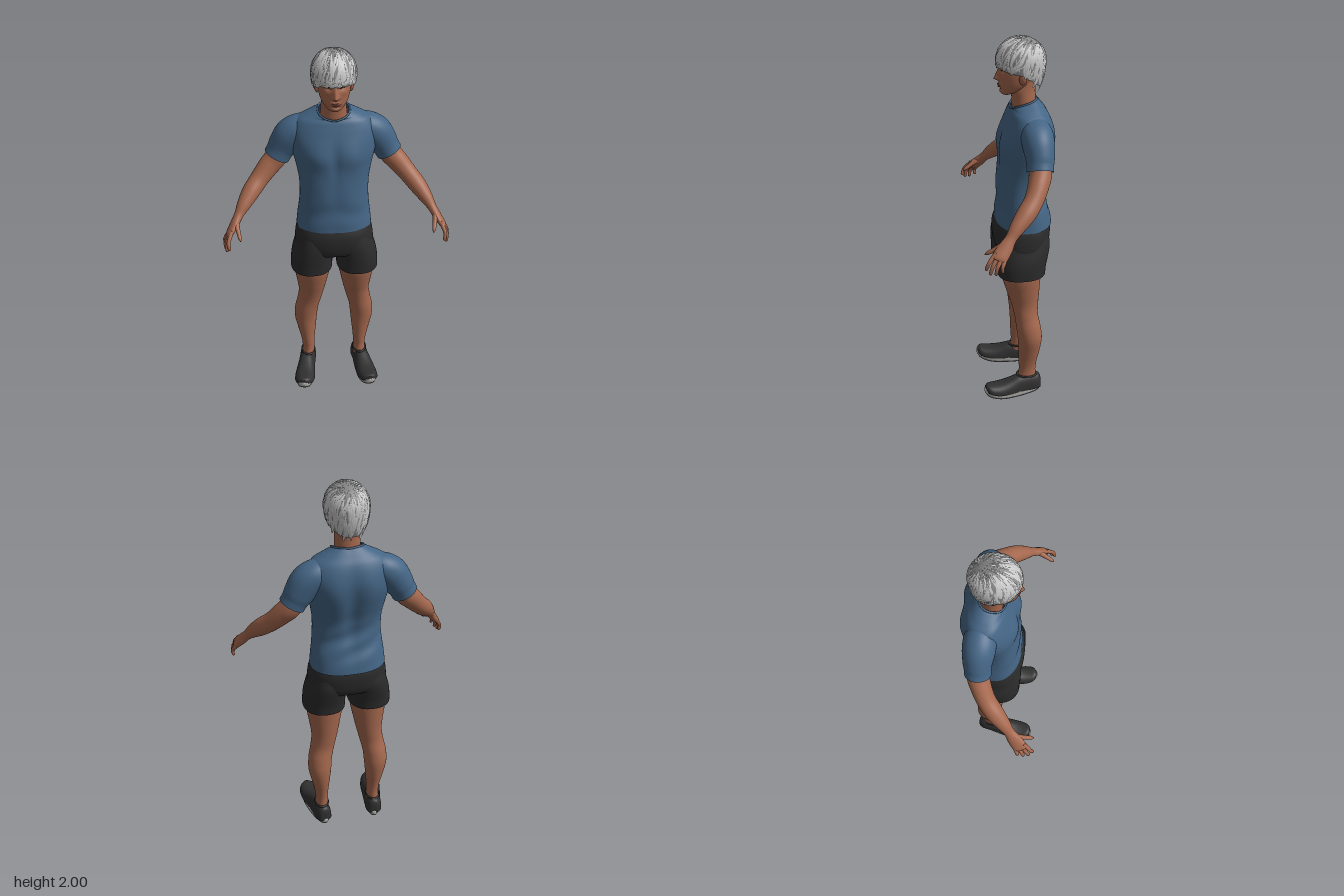
import * as THREE from 'three';
import { mergeGeometries } from 'three/addons/utils/BufferGeometryUtils.js';

const V = (x, y, z) => new THREE.Vector3(x, y, z);
const mat = (name, color, side = THREE.FrontSide) => {
  const m = new THREE.MeshStandardMaterial({ color, side });
  m.name = name;
  return m;
};
const gauss = (d, w) => Math.exp(-(d * d) / (w * w));

// Smooth interpolation through rows of numbers, t from 0 to 1
function sample(rows, t) {
  const f = THREE.MathUtils.clamp(t, 0, 1) * (rows.length - 1);
  const i = Math.min(Math.floor(f), rows.length - 2), s = f - i;
  const at = k => rows[THREE.MathUtils.clamp(k, 0, rows.length - 1)];
  return rows[0].map((_, c) => {
    const [a, b, d, e] = [at(i - 1)[c], at(i)[c], at(i + 1)[c], at(i + 2)[c]];
    return b + 0.5 * s * (d - a + s * (2 * a - 5 * b + 4 * d - e + s * (3 * (b - d) + e - a)));
  });
}

// Surface from a grid of points; closed around u unless open, ends fanned shut if cap
function grid(nu, nv, fn, { open = false, cap = false } = {}) {
  const pos = [], idx = [], cols = open ? nu + 1 : nu;
  for (let i = 0; i <= nv; i++)
    for (let j = 0; j < cols; j++) pos.push(...fn(j / nu, i / nv).toArray());
  for (let i = 0; i < nv; i++)
    for (let j = 0; j < nu; j++) {
      const k = (j + 1) % cols, a = i * cols + j, b = i * cols + k;
      idx.push(a, b, b + cols, a, b + cols, a + cols);
    }
  if (cap) for (const row of [0, nv]) {
    const c = V(0, 0, 0), n = pos.length / 3;
    for (let j = 0; j < cols; j++) c.add(V(...pos.slice((row * cols + j) * 3, (row * cols + j) * 3 + 3)));
    pos.push(...c.divideScalar(cols).toArray());
    for (let j = 0; j < cols; j++) {
      const a = row * cols + j, b = row * cols + (j + 1) % cols;
      if (row) idx.push(a, b, n); else idx.push(b, a, n);
    }
  }
  const g = new THREE.BufferGeometry();
  g.setAttribute('position', new THREE.Float32BufferAttribute(pos, 3));
  g.setIndex(idx);
  g.computeVertexNormals();
  return g;
}

// Upright form from rows [y, centre x, half width, front z, back z]
const power = (c, n) => Math.sign(c) * Math.abs(c) ** (2 / n);
function upright(rows, nu, nv, { n = 2, shape = p => p, cap = false } = {}) {
  return grid(nu, nv, (u, v) => {
    const [y, x, hw, zf, zb] = sample(rows, v), a = u * Math.PI * 2;
    return shape(V(x + hw * power(Math.sin(a), n), y, (zf + zb) / 2 + (zf - zb) / 2 * power(Math.cos(a), n)), a, v);
  }, { cap });
}

// Limb along rows [x, y, z, radius towards the front, radius across]
function limb(rows, nu, nv, cap = true) {
  return grid(nu, nv, (u, v) => {
    const p = sample(rows, v), c = V(p[0], p[1], p[2]), a = u * Math.PI * 2;
    const T = V(...sample(rows, v + 0.02).slice(0, 3)).sub(V(...sample(rows, v - 0.02).slice(0, 3))).normalize();
    const N = V(0, 0, 1).addScaledVector(T, -T.z).normalize(), B = T.clone().cross(N);
    return c.addScaledVector(N, p[3] * Math.cos(a)).addScaledVector(B, p[4] * Math.sin(a));
  }, { cap });
}

function mirrored(geo) {
  const g = geo.clone().scale(-1, 1, 1), ix = g.index.array;
  for (let i = 0; i < ix.length; i += 3) [ix[i], ix[i + 1]] = [ix[i + 1], ix[i]];
  g.computeVertexNormals();
  return g;
}

export function createModel() {
  const model = new THREE.Group();
  model.name = 'standingMan';
  const skin = mat('skin', 0xa5684e), shirt = mat('shirtBlue', 0x446585, THREE.DoubleSide);
  const black = mat('shortsBlack', 0x2b2b2b, THREE.DoubleSide), shoe = mat('shoeBlack', 0x303030);
  const soleMat = mat('soleWhite', 0xb4b2ae), tread = mat('treadGrey', 0x5c5b5a);
  const hairDark = mat('hairGrey', 0x858585, THREE.DoubleSide), hairLight = mat('hairSilver', 0xc8c8c8, THREE.DoubleSide);
  const dark = mat('browAndEyeDark', 0x2a1e1a), lip = mat('lipBrown', 0x8a4c3e);
  const add = (name, geo, m) => {
    const mesh = new THREE.Mesh(geo, m);
    mesh.name = name;
    model.add(mesh);
  };
  const pair = (name, geo, m) => { add(name + 'Left', geo, m); add(name + 'Right', mirrored(geo), m); };

  // Head, with nose, sockets, brow and mouth raised from the skull
  const headRows = [[1.711, 0, .022, .044, 0], [1.722, 0, .04, .052, -.03], [1.74, 0, .057, .056, -.07],
    [1.765, 0, .07, .059, -.1], [1.8, 0, .079, .06, -.125], [1.84, 0, .084, .062, -.15], [1.88, 0, .087, .062, -.16],
    [1.92, 0, .085, .053, -.16], [1.96, 0, .062, .025, -.13], [1.98, 0, .03, -.01, -.09]];
  const features = (x, y) => {
    const ax = Math.abs(x), rise = y > 1.79 ? Math.max(0, 1 - (y - 1.79) / .055) : Math.max(0, 1 - (1.79 - y) / .014);
    return .027 * rise * gauss(x, .009 + .007 * rise)
      - .010 * gauss(ax - .034, .019) * gauss(y - 1.838, .012) + .005 * gauss(ax - .03, .03) * gauss(y - 1.86, .009)
      + .007 * gauss(x, .024) * gauss(y - 1.757, .012) - .004 * gauss(x, .03) * gauss(y - 1.74, .006)
      + .004 * gauss(x, .02) * gauss(y - 1.725, .009) + .003 * gauss(ax - .05, .018) * gauss(y - 1.81, .014);
  };
  add('head', upright(headRows, 96, 90, { cap: true, shape: (p, a) => {
    if (Math.cos(a) > 0) p.z += features(p.x, p.y) * Math.min(1, Math.cos(a) * 2);
    return p;
  } }), skin);
  const onFace = (x, y, lift) => {
    let lo = 0, hi = 1;
    for (let i = 0; i < 24; i++) { const m = (lo + hi) / 2; if (sample(headRows, m)[0] < y) lo = m; else hi = m; }
    const [, , hw, zf, zb] = sample(headRows, lo);
    return V(x, y, (zf + zb) / 2 + (zf - zb) / 2 * Math.sqrt(1 - (x / hw) ** 2) + features(x, y) + lift);
  };
  const faceLine = (pts, r) => {
    const rows = pts.map(([x, y], i) => [...onFace(x, y, 0).toArray(), i % (pts.length - 1) ? r : r * .3, i % (pts.length - 1) ? r : r * .3]);
    return limb(rows, 8, 16);
  };
  pair('eyebrow', faceLine([[.014, 1.855], [.026, 1.86], [.042, 1.862], [.057, 1.855]], .0035), dark);
  pair('eye', faceLine([[.021, 1.836], [.029, 1.84], [.039, 1.841], [.048, 1.837]], .0037), dark);
  add('upperLip', faceLine([[-.024, 1.757], [-.008, 1.762], [0, 1.76], [.008, 1.762], [.024, 1.757]], .003), lip);
  add('lowerLip', faceLine([[-.02, 1.754], [0, 1.75], [.02, 1.754]], .0035), lip);
  pair('ear', new THREE.SphereGeometry(1, 16, 12).scale(.01, .03, .018).rotateZ(-.2).rotateY(-.25).translate(.088, 1.805, -.045), skin);
  add('neck', upright([[1.6, 0, .08, -.01, -.14], [1.65, 0, .068, -.005, -.125], [1.7, 0, .064, -.002, -.122],
    [1.74, 0, .062, .008, -.122], [1.79, 0, .06, .0, -.13]], 32, 16), skin);

  // Hair: a cap growing from the crown, then layered locks
  const edge = [[1.852], [1.85], [1.838], [1.825], [1.782], [1.757], [1.75]];
  const hairPoint = (a, v, k) => {
    const s = Math.sin(Math.min(v / .6, 1) * Math.PI / 2);
    const x = s * Math.sin(a), z = s * Math.cos(a) - .5 * (1 - s);
    let y = 1.88 + k * .115 * Math.sqrt(Math.max(0, 1 - x * x - z * z)), f = k;
    if (v > .6) {
      const wrapped = Math.abs(Math.atan2(Math.sin(a), Math.cos(a)));
      y = 1.88 + (sample(edge, wrapped / Math.PI)[0] - 1.88) * (v - .6) / .4;
      f *= 1 - .2 * ((1.88 - y) / .13) ** 2;
    }
    return V(.111 * f * x, y, -.049 + .123 * f * z);
  };
  add('hairCap', grid(64, 32, (u, v) => hairPoint(u * Math.PI * 2, 1 - v * .999, 1)), hairDark);
  let seed = 7;
  const rand = () => (seed = (seed * 16807) % 2147483647) / 2147483647;
  const locks = [];
  for (let i = 0; i < 330; i++) {
    const a0 = rand() * Math.PI * 2, v0 = .04 + rand() * .72, len = .22 + rand() * .22, w = .03 + rand() * .05, bend = rand() * .6 - .15;
    locks.push(grid(2, 7, (u, t) => {
      const taper = Math.sin(Math.PI * (.12 + .86 * t)) * w;
      return hairPoint(a0 + bend * t + (u - .5) * 2 * taper, Math.min(v0 + len * (1 - t), 1.1),
        1.006 + (u === .5 ? .022 : 0) * Math.sin(Math.PI * t));
    }, { open: true }));
  }
  add('hairLocks', mergeGeometries(locks), hairLight);

  // T-shirt body with chest, shoulder blades, spine and soft folds
  const shirtRows = [[1.02, 0, .198, .088, -.208], [1.08, 0, .192, .082, -.198], [1.15, 0, .183, .077, -.176],
    [1.22, 0, .178, .073, -.162], [1.3, 0, .18, .069, -.17], [1.38, 0, .194, .064, -.19], [1.45, 0, .21, .058, -.203],
    [1.52, 0, .216, .046, -.208], [1.575, 0, .21, .028, -.2], [1.62, 0, .185, .01, -.182], [1.65, 0, .14, -.002, -.158],
    [1.667, 0, .102, .002, -.14], [1.675, 0, .08, .004, -.128]];
  const drape = (p, a, v) => {
    const c = Math.cos(a), ax = Math.abs(p.x);
    if (c > 0) p.z += c * (.016 * gauss(ax - .085, .07) * gauss(p.y - 1.46, .065) - .007 * gauss(p.x, .02) * gauss(p.y - 1.42, .1)
      + .004 * gauss(ax - .06, .04) * gauss(p.y - 1.25, .06) + .003 * Math.sin(p.y * 42 + ax * 12) * gauss(p.y - 1.12, .1));
    else p.z -= -c * (.012 * gauss(ax - .1, .06) * gauss(p.y - 1.48, .09) - .014 * gauss(p.x, .04) * gauss(p.y - 1.35, .2)
      + .005 * Math.sin(p.y * 55 + p.x * 22) * gauss(p.y - 1.17, .09));
    p.y -= (.012 + .022 * c) * THREE.MathUtils.smoothstep(v, .75, 1) - .012 * Math.abs(Math.sin(a)) * THREE.MathUtils.smoothstep(v, .8, 1);
    return p;
  };
  add('shirtBody', upright(shirtRows, 96, 80, { n: 2.3, shape: drape }), shirt);
  const rim = [];
  for (let i = 0; i < 24; i++) {
    const a = i / 24 * Math.PI * 2;
    rim.push(drape(V(.08 * power(Math.sin(a), 2.3), 1.675, -.062 + .066 * power(Math.cos(a), 2.3)), a, 1));
  }
  add('shirtCollar', new THREE.TubeGeometry(new THREE.CatmullRomCurve3(rim, true), 64, .005, 8, true), shirt);
  pair('sleeve', limb([[.1, 1.585, -.1, .05, .05], [.16, 1.562, -.1, .077, .073], [.212, 1.525, -.102, .08, .083],
    [.252, 1.468, -.104, .072, .077], [.272, 1.435, -.102, .067, .069], [.289, 1.405, -.1, .066, .068]], 40, 28, false), shirt);

  // Arms, palms and fingers
  pair('arm', limb([[.22, 1.52, -.1, .05, .05], [.2875, 1.405, -.1, .056, .057], [.335, 1.352, -.082, .052, .054],
    [.385, 1.297, -.05, .048, .048], [.43, 1.25, -.005, .047, .045], [.468, 1.205, .042, .037, .035],
    [.495, 1.167, .075, .028, .024], [.52, 1.13, .105, .036, .021], [.546, 1.095, .136, .038, .016], [.554, 1.083, .145, .03, .01]], 32, 64), skin);
  const knuckle = V(.549, 1.091, .139), across = V(-.34, .45, .83);
  const tips = [[.548, 1.035, .203], [.562, 1.016, .185], [.568, 1.015, .158], [.568, 1.026, .125]];
  tips.forEach((tip, i) => {
    const k = knuckle.clone().addScaledVector(across, .029 - i * .019), e = V(...tip);
    const mid = k.clone().lerp(e, .5).add(V(.009, .003, .006)), back = k.clone().lerp(e, -.25), near = mid.clone().lerp(e, .85);
    const rows = [[back, .007], [k, .0105], [mid, .0095], [near, .008], [e, .003]].map(([p, r]) => [...p.toArray(), r, r]);
    pair('finger' + (i + 1), limb(rows, 10, 16), skin);
  });
  pair('thumb', limb([[.505, 1.15, .09, .012, .012], [.507, 1.135, .125, .015, .014], [.5, 1.115, .158, .011, .011],
    [.494, 1.098, .185, .0095, .0095], [.49, 1.087, .2, .003, .003]], 12, 18), skin);

  // Shorts
  add('shortsSeat', upright([[.855, 0, .06, .03, -.11], [.87, 0, .17, .077, -.165], [.9, 0, .207, .093, -.19],
    [.95, 0, .208, .1, -.2], [1.0, 0, .2, .097, -.201], [1.05, 0, .184, .078, -.188]], 64, 24, { n: 2.4, cap: true }), black);
  pair('shortsLeg', upright([[.76, .124, .112, .09, -.162], [.81, .122, .112, .091, -.167], [.86, .117, .109, .093, -.178],
    [.92, .108, .1, .092, -.188], [.98, .1, .09, .08, -.18]], 48, 20, { n: 2.3 }), black);

  // Legs
  pair('leg', upright([[.07, .152, .036, -.01, -.12], [.14, .148, .034, -.022, -.115], [.2, .15, .038, -.02, -.121],
    [.28, .155, .051, -.018, -.137], [.36, .159, .063, -.014, -.146], [.43, .154, .065, -.006, -.139], [.5, .139, .066, .002, -.126],
    [.57, .126, .07, .018, -.129], [.65, .122, .083, .043, -.135], [.75, .12, .099, .068, -.142], [.86, .118, .1, .07, -.15]], 40, 60, { cap: true }), skin);

  // Slip-on shoes, toes turned slightly out
  const place = g => g.rotateY(.16).translate(.165, 0, 0);
  const spring = z => .028 * Math.max(0, (z - .05) / .13) ** 2;
  const outline = (u, y, k) => {
    const a = u * Math.PI * 2, z = .015 + .165 * k * power(Math.cos(a), 2.3);
    return V(power(Math.sin(a), 2.3) * k * (.05 + .01 * Math.cos(a)), y + spring(z), z);
  };
  const soleRows = [[.004, .93], [.01, .98], [.025, 1], [.036, .99], [.04, .95]];
  pair('sole', place(grid(48, 12, (u, v) => outline(u, ...sample(soleRows, v)), { cap: true })), soleMat);
  pair('tread', place(grid(48, 1, (u, v) => outline(u, v * .005, .94), { cap: true })), tread);
  const upperRows = [[-.146, .012, .07], [-.138, .033, .1], [-.11, .045, .113], [-.06, .046, .114], [-.015, .048, .112],
    [.03, .053, .097], [.08, .057, .083], [.125, .054, .073], [.155, .043, .066], [.172, .02, .055]];
  pair('shoeUpper', place(grid(40, 40, (u, v) => {
    const [z, hw, top] = sample(upperRows, v), a = u * Math.PI * 2, base = .03 + spring(z);
    return V(-hw * power(Math.sin(a), 2.5), base + (Math.cos(a) > 0 ? (top - .03) * power(Math.cos(a), 2.2) : .008 * Math.cos(a)), z);
  }, { cap: true })), shoe);
  pair('shoeCollar', new THREE.TorusGeometry(1, .12, 10, 40).rotateX(Math.PI / 2).scale(.037, .05, .054).rotateX(-.04).translate(.15, .11, -.066), shoe);
  return model;
}
